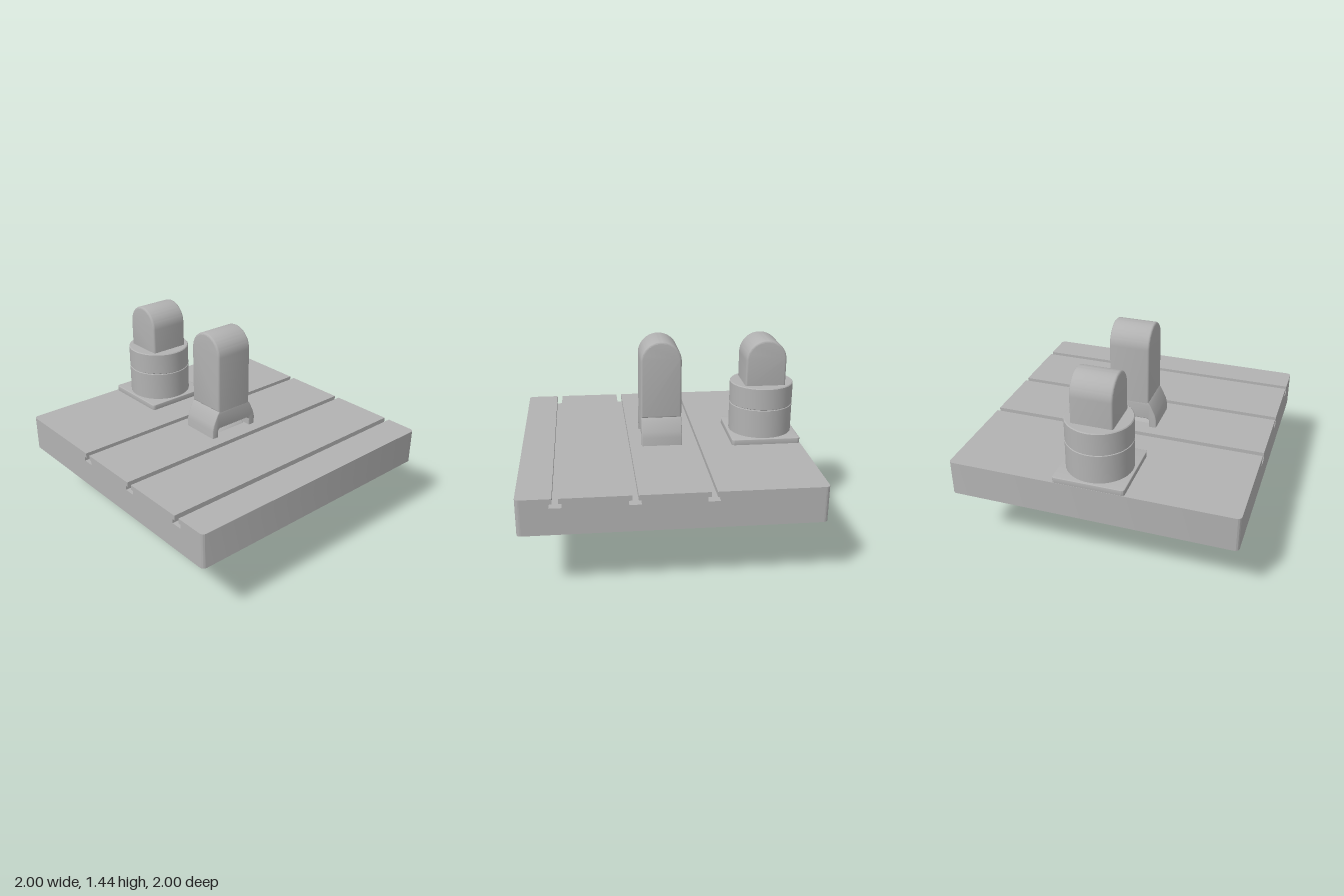
import * as THREE from 'three';
import { toCreasedNormals } from 'three/addons/utils/BufferGeometryUtils.js';
import { RoundedBoxGeometry } from 'three/addons/geometries/RoundedBoxGeometry.js';

export function createModel() {
  const model = new THREE.Group();
  const grey = new THREE.MeshStandardMaterial({ color: 0xb2b2b2 });
  grey.name = 'machine grey';

  const add = (name, geometry, x = 0, y = 0, z = 0, parent = model) => {
    const mesh = new THREE.Mesh(geometry, grey);
    mesh.name = name;
    mesh.position.set(x, y, z);
    parent.add(mesh);
    return mesh;
  };

  const group = (name) => {
    const g = new THREE.Group();
    g.name = name;
    model.add(g);
    return g;
  };

  // Extrusion centred on its depth, with edges rounded inwards
  const extrude = (shape, depth, bevel = 0) => {
    const g = new THREE.ExtrudeGeometry(shape, {
      depth: depth - 2 * bevel, curveSegments: 24,
      bevelEnabled: bevel > 0, bevelSize: bevel, bevelThickness: bevel,
      bevelOffset: -bevel, bevelSegments: 3,
    });
    g.translate(0, 0, -depth / 2 + bevel);
    return toCreasedNormals(g, 0.6);
  };

  const polygon = (points) => new THREE.Shape(points.map(([x, y]) => new THREE.Vector2(x, y)));

  // Round-topped block whose arch runs along x
  const archBlock = (bottom, top, r, width, bevel) => {
    const s = new THREE.Shape();
    s.moveTo(-r, bottom);
    s.lineTo(r, bottom);
    s.lineTo(r, top - r);
    s.absarc(0, top - r, r, 0, Math.PI, false);
    s.lineTo(-r, bottom);
    return extrude(s, width, bevel).rotateY(Math.PI / 2);
  };

  const lathe = (points) => toCreasedNormals(
    new THREE.LatheGeometry(points.map(([x, y]) => new THREE.Vector2(x, y)), 64), 0.6);

  // Table: T-slotted profile along x, closed by strips with rounded corners
  const table = group('table');
  const bottom = 0.44, top = 0.69, corner = 0.03, edge = 1 - corner;
  const profile = [[-edge, bottom], [edge, bottom], [edge, top]];
  for (const c of [0.25, -0.25, -0.75]) {
    profile.push([c + 0.02, top], [c + 0.02, 0.655], [c + 0.04, 0.655], [c + 0.04, 0.625],
      [c - 0.04, 0.625], [c - 0.04, 0.655], [c - 0.02, 0.655], [c - 0.02, top]);
  }
  profile.push([-edge, top]);
  add('slottedTableTop', extrude(polygon(profile), 2).rotateY(Math.PI / 2), 0, 0, 0, table);
  for (const side of [1, -1]) {
    const s = new THREE.Shape();
    s.moveTo(-1, 0);
    s.lineTo(1, 0);
    s.absarc(edge, 0, corner, 0, Math.PI / 2, false);
    s.lineTo(-edge, corner);
    s.absarc(-edge, 0, corner, Math.PI / 2, Math.PI, false);
    const strip = extrude(s, top - bottom).rotateX(side * Math.PI / 2);
    add('tableEdge', strip, 0, (top + bottom) / 2, side * edge, table);
  }

  // Central spindle arm on a forked bracket
  const arm = group('spindleArm');
  add('armHead', archBlock(0.88, 1.44, 0.145, 0.29, 0.015), 0, 0, 0, arm);
  const fork = polygon([
    [-0.2, 0.545], [-0.148, 0.545], [-0.148, 0.74], [-0.135, 0.755], [0.135, 0.755],
    [0.148, 0.74], [0.148, 0.545], [0.2, 0.545], [0.2, 0.75], [0.19, 0.79],
    [0.155, 0.865], [0.14, 0.885], [-0.14, 0.885], [-0.155, 0.865], [-0.19, 0.79], [-0.2, 0.75],
  ]);
  add('fork', extrude(fork, 0.29, 0.006), 0, 0, 0, arm);
  for (const side of [1, -1]) {
    const end = lathe([[0, -0.026], [0.145, -0.026], [0.145, 0.014], [0.133, 0.026], [0, 0.026]]);
    add('forkEnd', end.rotateZ(-side * Math.PI / 2), side * 0.174, 0.545, 0, arm);
  }

  // Swivel tongue, neck and motor block under the table
  const drive = group('lowerDrive');
  add('tongue', archBlock(0.34, 0.725, 0.145, 0.29, 0.012), 0, 0, 0, drive);
  add('neck', new THREE.CylinderGeometry(0.123, 0.123, 0.07, 48), 0, 0.315, 0, drive);
  add('motorBlock', new RoundedBoxGeometry(0.29, 0.29, 0.5, 3, 0.015), 0, 0.147, 0.125, drive);
  const ring = new THREE.Shape();
  ring.absarc(0, 0, 0.103, 0, Math.PI * 2, false);
  const bore = new THREE.Path();
  bore.absarc(0, 0, 0.065, 0, Math.PI * 2, true);
  ring.holes.push(bore);
  add('outletRing', extrude(ring, 0.1, 0.006), 0, 0.15, -0.16, drive);

  // Rear rotary unit: base plate, grooved drum and arched head
  const rear = group('rearUnit');
  rear.position.z = -0.75;
  const plate = new THREE.Shape();
  const h = 0.248, r = 0.02, k = h - r;
  plate.absarc(k, k, r, 0, Math.PI / 2, false);
  plate.absarc(-k, k, r, Math.PI / 2, Math.PI, false);
  plate.absarc(-k, -k, r, Math.PI, Math.PI * 1.5, false);
  plate.absarc(k, -k, r, Math.PI * 1.5, Math.PI * 2, false);
  add('basePlate', extrude(plate, 0.045, 0.004).rotateX(-Math.PI / 2), 0, 0.7075, 0, rear);
  add('drum', lathe([
    [0, 0.72], [0.229, 0.72], [0.229, 0.934], [0.224, 0.937], [0.224, 0.941],
    [0.229, 0.944], [0.229, 1.094], [0.223, 1.1], [0, 1.1],
  ]), 0, 0, 0, rear);
  add('rearHead', archBlock(1.08, 1.43, 0.145, 0.29, 0.015), 0, 0, 0, rear);

  return model;
}
